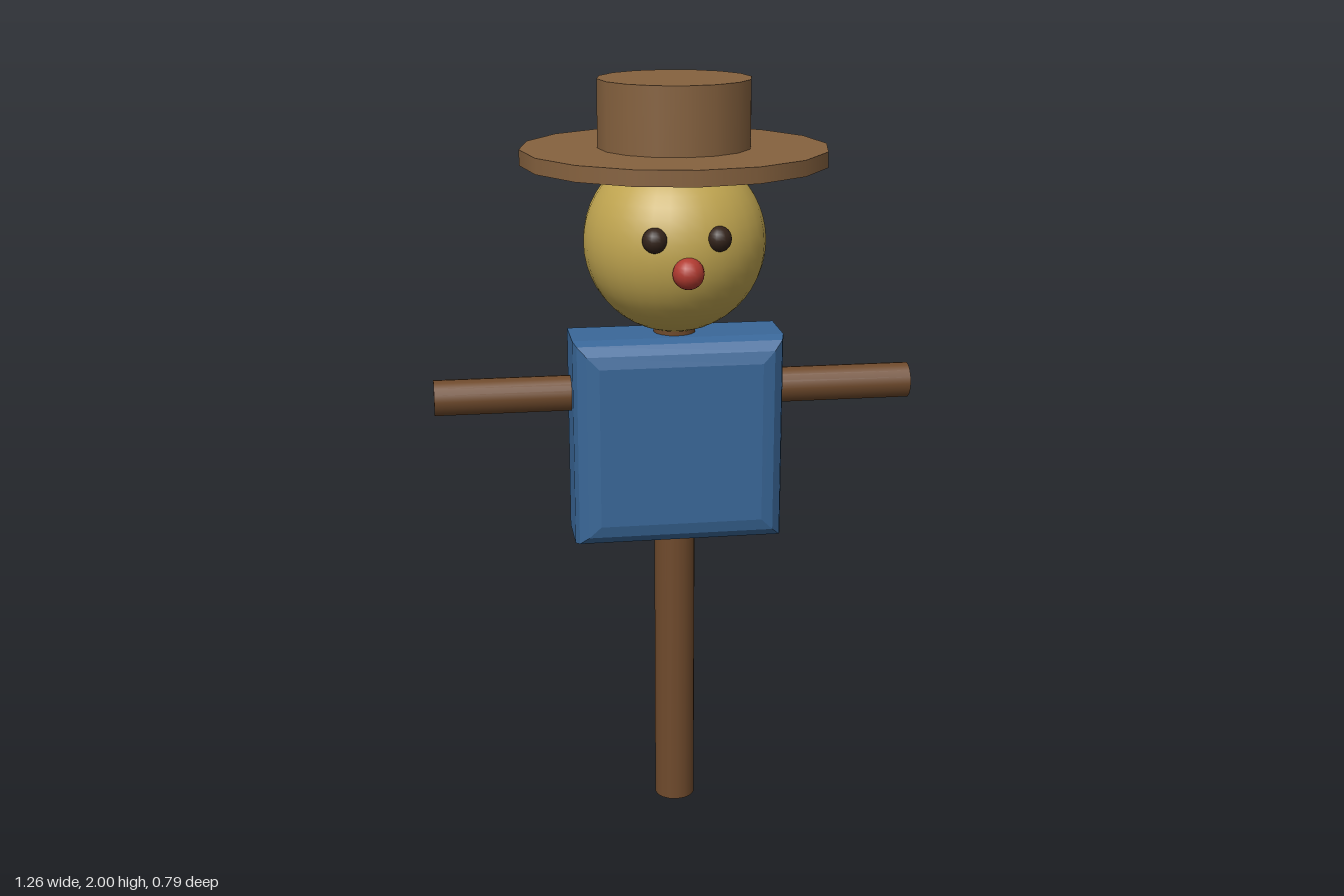
import * as THREE from 'three';

export function createModel() {
  const group = new THREE.Group();
  const mat = (color) => new THREE.MeshStandardMaterial({ color });
  const wood = mat(0x6f4a2c), felt = mat(0x86623f), straw = mat(0xc0a550);
  const cloth = mat(0x3a6899), dark = mat(0x33231a), red = mat(0xb03a30);

  const add = (name, geometry, material, x = 0, y = 0, z = 0) => {
    const mesh = new THREE.Mesh(geometry, material);
    mesh.name = name;
    mesh.position.set(x, y, z);
    group.add(mesh);
    return mesh;
  };

  // Upright pole running up through the torso into the head
  add('pole', new THREE.CylinderGeometry(0.055, 0.055, 1.42, 16), wood, 0, 0.71);

  // Crossbar forming both arms
  add('arms', new THREE.CylinderGeometry(0.047, 0.047, 1.264, 16), wood, 0, 1.19)
    .rotation.z = Math.PI / 2;

  // Torso: square with rounded bevels at front and back
  const half = 0.276, bevel = 0.063, depth = 0.144, h = half - bevel;
  const square = new THREE.Shape([
    new THREE.Vector2(-h, -h), new THREE.Vector2(h, -h),
    new THREE.Vector2(h, h), new THREE.Vector2(-h, h),
  ]);
  const torso = new THREE.ExtrudeGeometry(square, {
    depth, bevelEnabled: true, bevelThickness: bevel, bevelSize: bevel, bevelSegments: 3,
  });
  torso.translate(0, 0, -depth / 2);
  add('torso', torso, cloth, 0, 1.071);

  // Head and face
  add('head', new THREE.SphereGeometry(0.236, 32, 24), straw, 0, 1.588);
  for (const [name, side] of [['leftEye', 1], ['rightEye', -1]]) {
    add(name, new THREE.SphereGeometry(0.032, 16, 12), dark, side * 0.08, 1.629, 0.212);
  }
  add('nose', new THREE.SphereGeometry(0.04, 16, 12), red, 0, 1.549, 0.236);

  // Hat
  add('hatBrim', new THREE.CylinderGeometry(0.395, 0.395, 0.04, 16), felt, 0, 1.808);
  add('hatCrown', new THREE.CylinderGeometry(0.197, 0.197, 0.182, 16), felt, 0, 1.909);

  return group;
}
